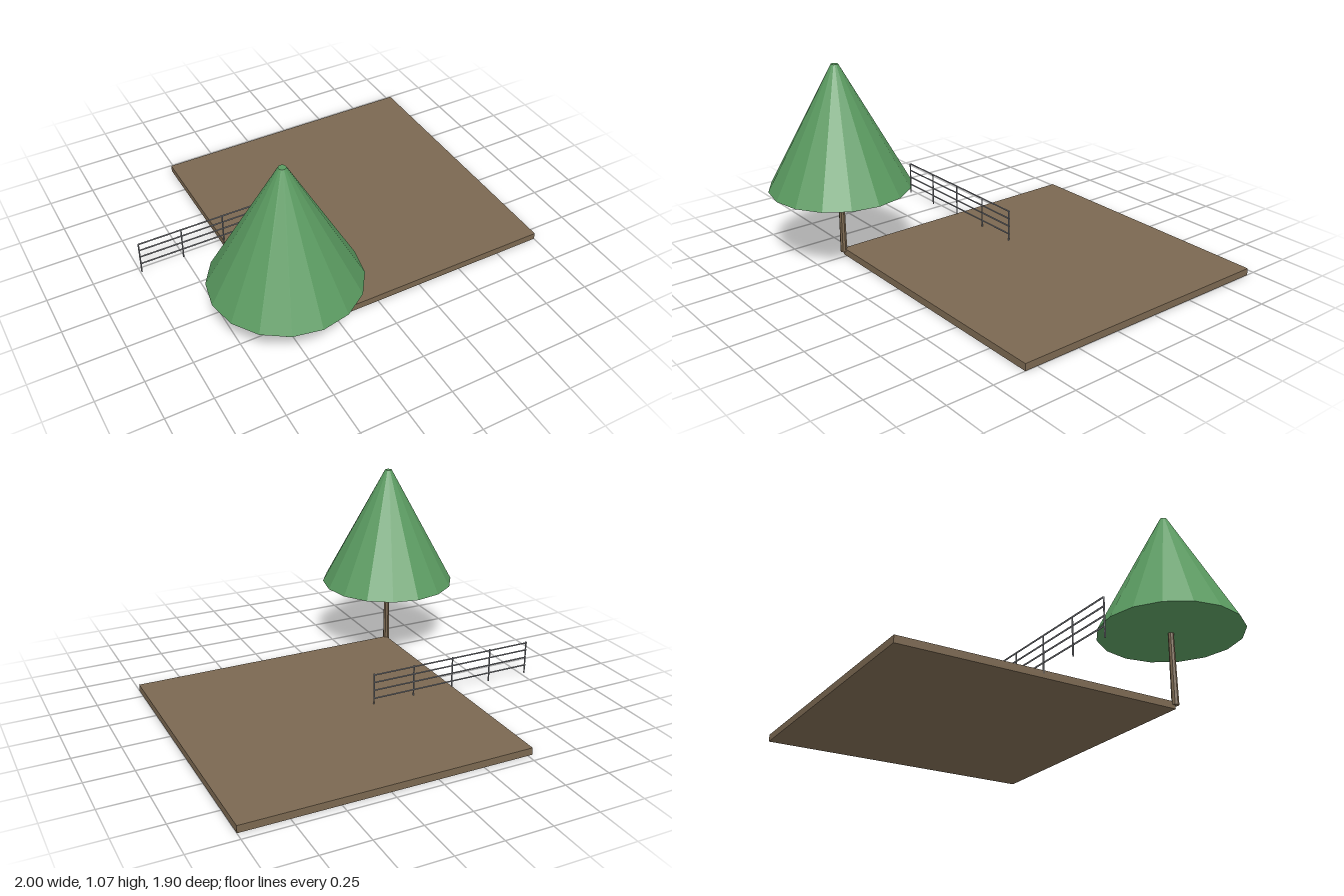
import * as THREE from 'three';

export function createModel() {
  const model = new THREE.Group();
  const material = (name, color, flatShading = false) => {
    const m = new THREE.MeshStandardMaterial({ color, flatShading });
    m.name = name;
    return m;
  };
  const brown = material('earth brown', 0x7b6851, true);
  const green = material('leaf green', 0x5a9a60, true);
  const grey = material('metal grey', 0x888a90);

  const add = (parent, name, geometry, mat, x, y, z) => {
    const mesh = new THREE.Mesh(geometry, mat);
    mesh.name = name;
    mesh.position.set(x, y, z);
    parent.add(mesh);
    return mesh;
  };

  // Ground slab
  add(model, 'ground', new THREE.BoxGeometry(1.525, 0.038, 1.52), brown, 0.2375, 0.019, -0.19);

  // Tree on the front corner of the slab
  const tree = new THREE.Group();
  tree.name = 'tree';
  tree.position.set(-0.525, 0, 0.57);
  model.add(tree);
  add(tree, 'trunk', new THREE.CylinderGeometry(0.015, 0.019, 0.39, 8), brown, 0, 0.215, 0);
  add(tree, 'foliage', new THREE.CylinderGeometry(0.019, 0.379, 0.665, 16), green, 0, 0.7375, 0);

  // Fence: five posts carrying four rails
  const fence = new THREE.Group();
  fence.name = 'fence';
  fence.position.set(-0.522, 0, -0.197);
  model.add(fence);
  const spacing = 0.2375;
  for (let i = -2; i <= 2; i++) {
    add(fence, 'fencePost', new THREE.CylinderGeometry(0.004, 0.004, 0.19, 8), grey, i * spacing, 0.117, 0);
  }
  for (const y of [0.073, 0.12, 0.165, 0.208]) {
    const rail = add(fence, 'fenceRail', new THREE.CylinderGeometry(0.004, 0.004, 0.954, 8), grey, 0, y, -0.005);
    rail.rotation.z = Math.PI / 2;
  }

  return model;
}
